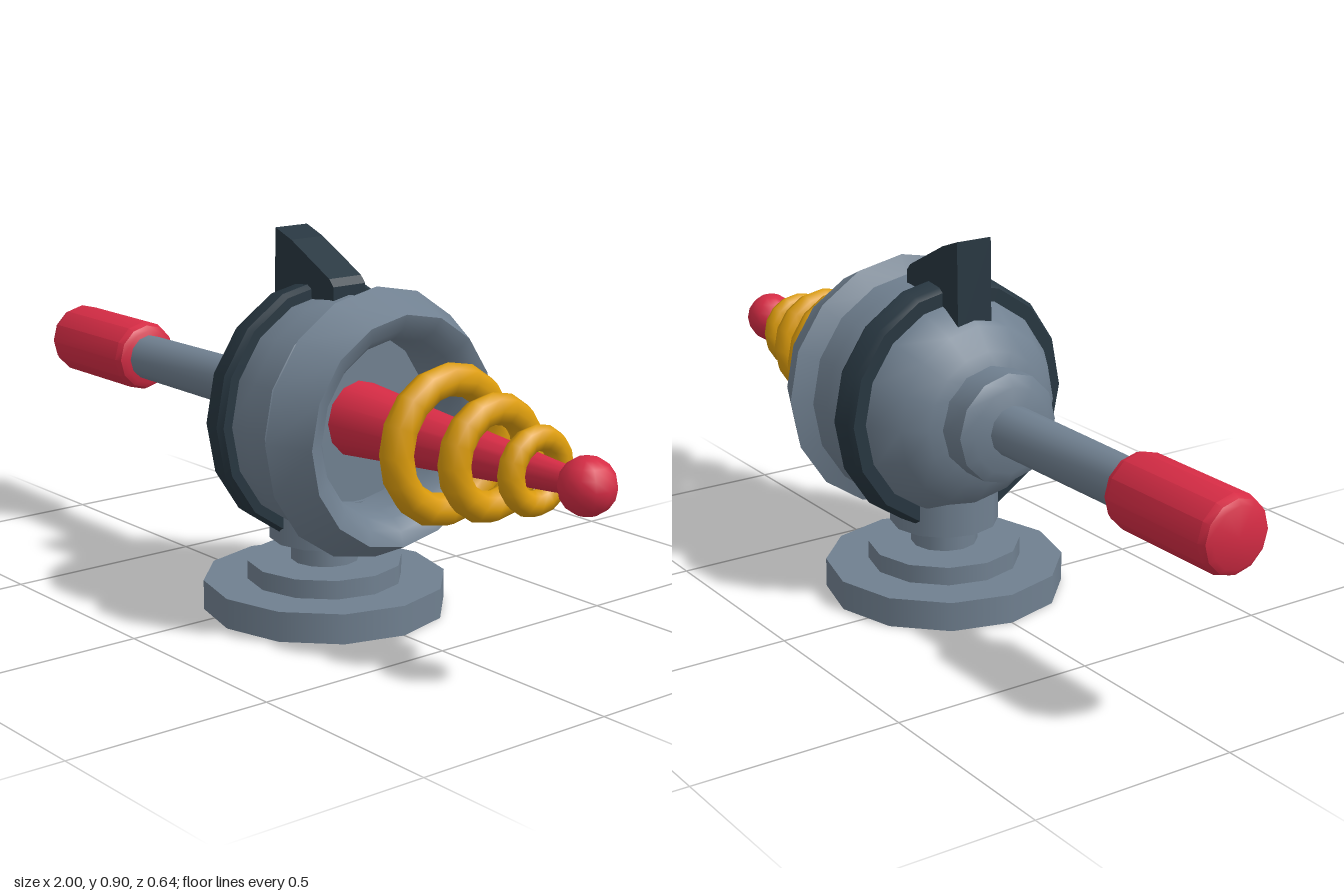
import * as THREE from 'three';
import { toCreasedNormals } from 'three/addons/utils/BufferGeometryUtils.js';

const AXIS_Y = 0.482; // height of the barrel axis
const BASE_X = 0.078; // centre of the pedestal

const material = (name, color) => {
  const m = new THREE.MeshStandardMaterial({ color });
  m.name = name;
  return m;
};

export function createModel() {
  const steel = material('steel grey', 0x708090);
  const dark = material('dark slate', 0x273640);
  const red = material('crimson', 0xd62c45);
  const gold = material('gold', 0xdc9c0c);

  const model = new THREE.Group();
  model.name = 'rayEmitter';

  const add = (name, geometry, mat, x = 0, y = 0, z = 0) => {
    const mesh = new THREE.Mesh(geometry, mat);
    mesh.name = name;
    mesh.position.set(x, y, z);
    model.add(mesh);
    return mesh;
  };

  // Turned part along the x axis; profile is a list of [x, radius]
  const turned = (name, profile, sides, mat) => {
    const points = profile.map(([x, r]) => new THREE.Vector2(r, x));
    const geometry = new THREE.LatheGeometry(points, sides).rotateZ(-Math.PI / 2);
    return add(name, toCreasedNormals(geometry, 0.62), mat, 0, AXIS_Y);
  };

  // Pedestal, stacked discs: [name, radius, bottom, top]
  const discs = [
    ['basePlate', 0.292, 0, 0.072],
    ['baseStep', 0.187, 0.072, 0.117],
    ['pedestalNeck', 0.082, 0.117, 0.172],
    ['pedestalCup', 0.133, 0.172, 0.285],
  ];
  for (const [name, r, y0, y1] of discs) {
    add(name, new THREE.CylinderGeometry(r, r, y1 - y0, 12), steel, BASE_X, (y0 + y1) / 2);
  }

  // Round housing
  turned('housing', [
    [-0.13, 0], [-0.13, 0.1], [-0.112, 0.165], [-0.07, 0.218], [0, 0.26],
    [0.08, 0.278], [0.15, 0.286], [0.215, 0.284], [0.24, 0.262],
  ], 16, steel);

  // Flared muzzle with a hollow mouth
  turned('muzzle', [
    [0.235, 0.255], [0.262, 0.319], [0.366, 0.27], [0.355, 0.235],
    [0.325, 0.21], [0.28, 0.2], [0.2, 0.2], [0.2, 0],
  ], 16, steel);

  // Chamfered band around the housing
  turned('housingBand', [
    [0.01, 0.255], [0.01, 0.295], [0.024, 0.305], [0.07, 0.311],
    [0.085, 0.302], [0.087, 0.26],
  ], 16, dark);

  // Sight fin on top
  const finShape = new THREE.Shape([
    [-0.055, 0.66], [0.165, 0.72], [0.165, 0.79], [0.15, 0.807], [0.01, 0.88], [-0.05, 0.902],
  ].map(([x, y]) => new THREE.Vector2(x, y)));
  const fin = new THREE.ExtrudeGeometry(finShape, { depth: 0.094, bevelEnabled: false });
  add('sightFin', fin.translate(0, 0, -0.047), dark);

  // Rear collar, rod and grip
  turned('rearCollar', [
    [-0.21, 0], [-0.21, 0.105], [-0.192, 0.134], [-0.134, 0.134], [-0.1, 0.134],
  ], 12, steel);
  turned('rod', [[-0.68, 0.058], [-0.18, 0.061]], 12, steel);
  turned('grip', [
    [-1, 0], [-1, 0.07], [-0.992, 0.083], [-0.975, 0.09],
    [-0.68, 0.09], [-0.663, 0.083], [-0.655, 0.07], [-0.655, 0],
  ], 12, red);

  // Tapered emitter and its tip
  turned('emitterRod', [[0.18, 0.092], [0.9, 0.028]], 12, red);
  add('emitterTip', new THREE.SphereGeometry(0.064, 12, 8), red, 0.931, AXIS_Y);

  // Floating coils: [x, outer radius, tube radius]
  for (const [x, outer, tube] of [[0.505, 0.186, 0.038], [0.647, 0.145, 0.036], [0.781, 0.101, 0.029]]) {
    const coil = new THREE.TorusGeometry(outer - tube, tube, 8, 16).rotateY(Math.PI / 2);
    add('coil', coil, gold, x, AXIS_Y);
  }

  return model;
}
